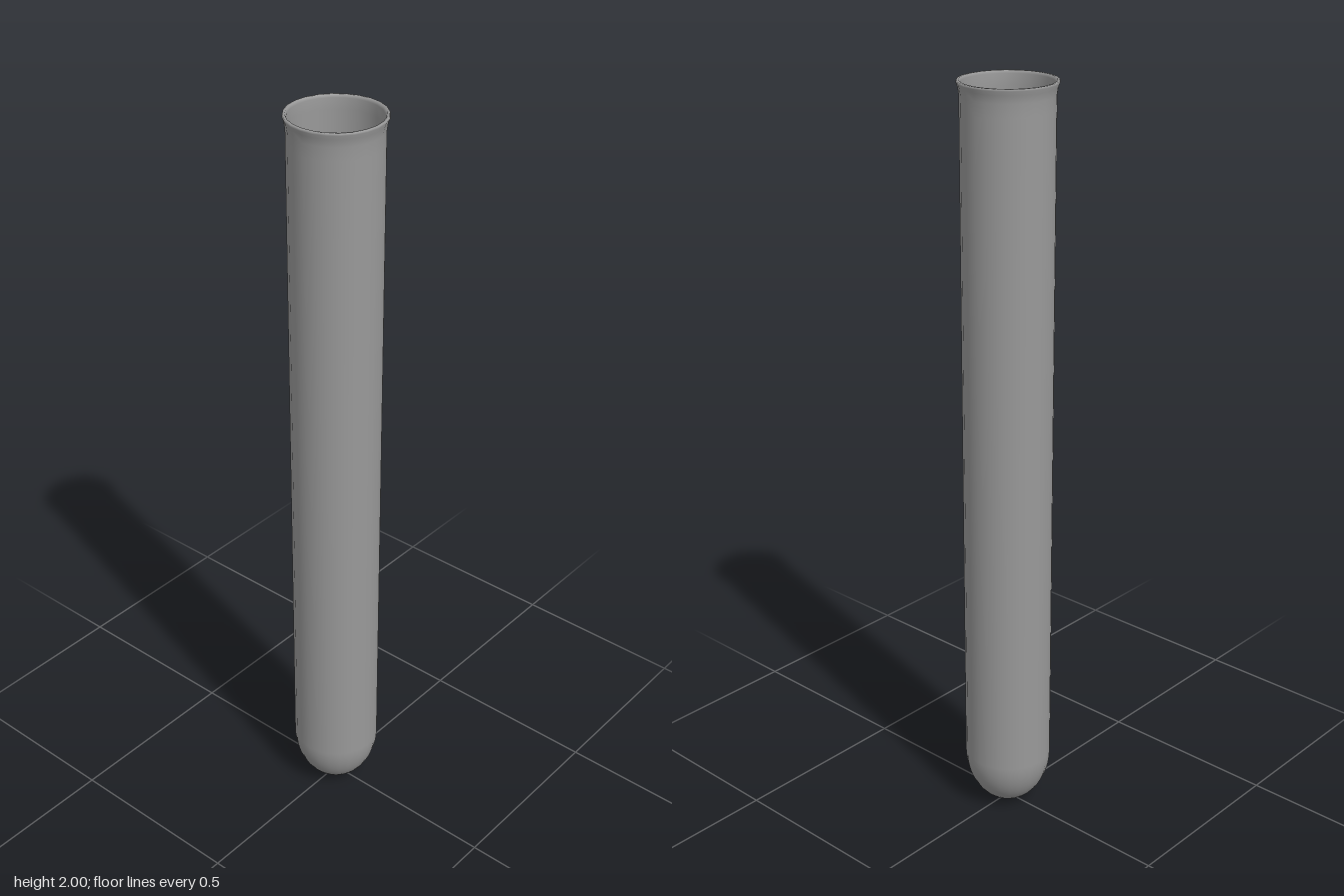
import * as THREE from 'three';

// Points of a rounded bottom, from the axis up to the wall
function roundedBottom(radius, height, baseY, steps = 14) {
  const points = [];
  for (let i = 0; i <= steps; i++) {
    const a = (i / steps) * Math.PI / 2;
    points.push(new THREE.Vector2(radius * Math.sin(a), baseY + height * (1 - Math.cos(a))));
  }
  return points;
}

export function createModel() {
  const group = new THREE.Group();
  group.name = 'testTube';
  const material = new THREE.MeshStandardMaterial({ color: 0x999999, side: THREE.DoubleSide });

  // Outer wall, flared lip, then back down the inner wall
  const lip = [
    [0.117, 1.93], [0.117, 1.965], [0.12, 1.985], [0.124, 1.995],
    [0.123, 2], [0.117, 2], [0.114, 1.993], [0.114, 1.965],
  ].map(([r, y]) => new THREE.Vector2(r, y));
  const profile = [
    ...roundedBottom(0.117, 0.155, 0),
    ...lip,
    ...roundedBottom(0.114, 0.152, 0.003).reverse(),
  ];

  const tube = new THREE.Mesh(new THREE.LatheGeometry(profile, 24), material);
  tube.name = 'glassTube';
  group.add(tube);
  return group;
}
